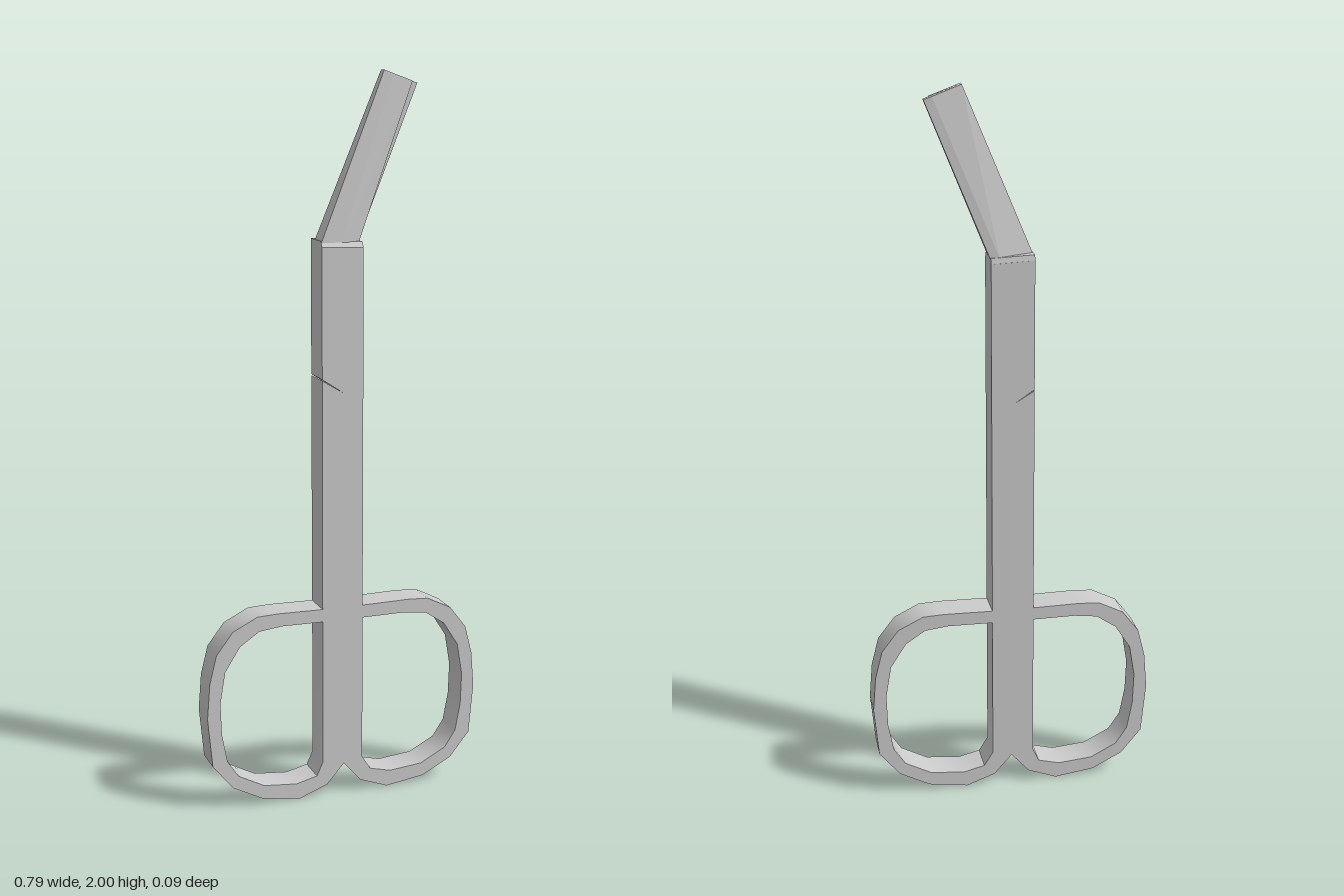
import * as THREE from 'three';
import { toCreasedNormals } from 'three/addons/utils/BufferGeometryUtils.js';

const DEPTH = 0.09;
const steel = new THREE.MeshStandardMaterial({ color: 0xcccccc });
const bladeSteel = new THREE.MeshStandardMaterial({ color: 0xcccccc, flatShading: true });

// Finger ring outlines for the +x side, from the shank round to the bottom
const ringOuter = [[0.19, 0.55], [0.25, 0.547], [0.32, 0.512], [0.367, 0.45], [0.387, 0.37], [0.395, 0.27],
  [0.382, 0.13], [0.325, 0.06], [0.24, 0.016], [0.13, 0], [0.05, 0.03], [0, 0.087]];
const ringInner = [[0.18, 0.513], [0.245, 0.505], [0.3, 0.468], [0.343, 0.4], [0.358, 0.31], [0.355, 0.22],
  [0.34, 0.14], [0.308, 0.092], [0.235, 0.054], [0.14, 0.045], [0.08, 0.06]];

// One shank with its finger ring; side is +1 or -1
function makeHandle(side, halfWidth, topY, notched) {
  const flip = (pts) => pts.map(([x, y]) => new THREE.Vector2(side * x, y));
  const notch = notched ? [[halfWidth, 1.191], [0.003, 1.152], [halfWidth, 1.188]] : [];
  const shape = new THREE.Shape(flip([
    [0, 1.542], [halfWidth, topY], ...notch, [halfWidth, 0.548], ...ringOuter,
  ]));
  // The hole always runs counter-clockwise so that its walls face inward
  const hole = flip([[halfWidth, 0.512], ...ringInner, [halfWidth, 0.1]]);
  shape.holes.push(new THREE.Path(side > 0 ? hole.reverse() : hole));
  const geo = new THREE.ExtrudeGeometry(shape, { depth: DEPTH, bevelEnabled: false });
  geo.translate(0, 0, -DEPTH / 2);
  return new THREE.Mesh(toCreasedNormals(geo, 0.7), steel);
}

// Prism between two matching sections, counter-clockwise when seen from above
function makePrism(base, tip) {
  const pos = [];
  const tri = (...corners) => corners.forEach((c) => pos.push(...c));
  const n = base.length;
  for (let i = 0; i < n; i++) {
    const j = (i + 1) % n;
    tri(base[i], base[j], tip[j]);
    tri(base[i], tip[j], tip[i]);
    if (i > 0 && i < n - 1) {
      tri(tip[0], tip[i], tip[j]);
      tri(base[0], base[j], base[i]);
    }
  }
  const geo = new THREE.BufferGeometry();
  geo.setAttribute('position', new THREE.Float32BufferAttribute(pos, 3));
  geo.computeVertexNormals();
  return new THREE.Mesh(geo, bladeSteel);
}

export function createModel() {
  const group = new THREE.Group();
  const add = (name, mesh) => {
    mesh.name = name;
    group.add(mesh);
  };

  add('leftHandle', makeHandle(1, 0.055, 1.54, false));
  add('rightHandle', makeHandle(-1, 0.062, 1.545, true));

  // Chamfered top of the shank
  const shoulderSection = (leftY, rightY, front, back) => [
    [-0.062, rightY, back], [-0.062, rightY, front], [0.055, leftY, front], [0.055, leftY, back],
  ];
  add('shoulder', makePrism(shoulderSection(1.54, 1.545, 0.045, -0.045), shoulderSection(1.555, 1.56, 0.034, -0.042)));

  // Front blade: thick spine on the right-hand side, thin toward the cutting edge
  add('frontBlade', makePrism(
    [[-0.062, 1.555, 0], [-0.062, 1.555, 0.04], [-0.005, 1.555, 0.04], [0.046, 1.55, 0.03], [0.046, 1.55, 0]],
    [[0.122, 2, 0], [0.122, 2, 0.016], [0.15, 1.99, 0.014], [0.207, 1.971, 0.005], [0.207, 1.971, 0]],
  ));

  // Back blade: thick spine on the opposite side
  add('backBlade', makePrism(
    [[0.055, 1.55, 0], [0.055, 1.55, -0.038], [0.03, 1.55, -0.04], [-0.062, 1.555, -0.017], [-0.062, 1.555, 0]],
    [[0.222, 1.965, 0], [0.222, 1.965, -0.017], [0.2, 1.973, -0.018], [0.122, 2, -0.008], [0.122, 2, 0]],
  ));

  return group;
}
